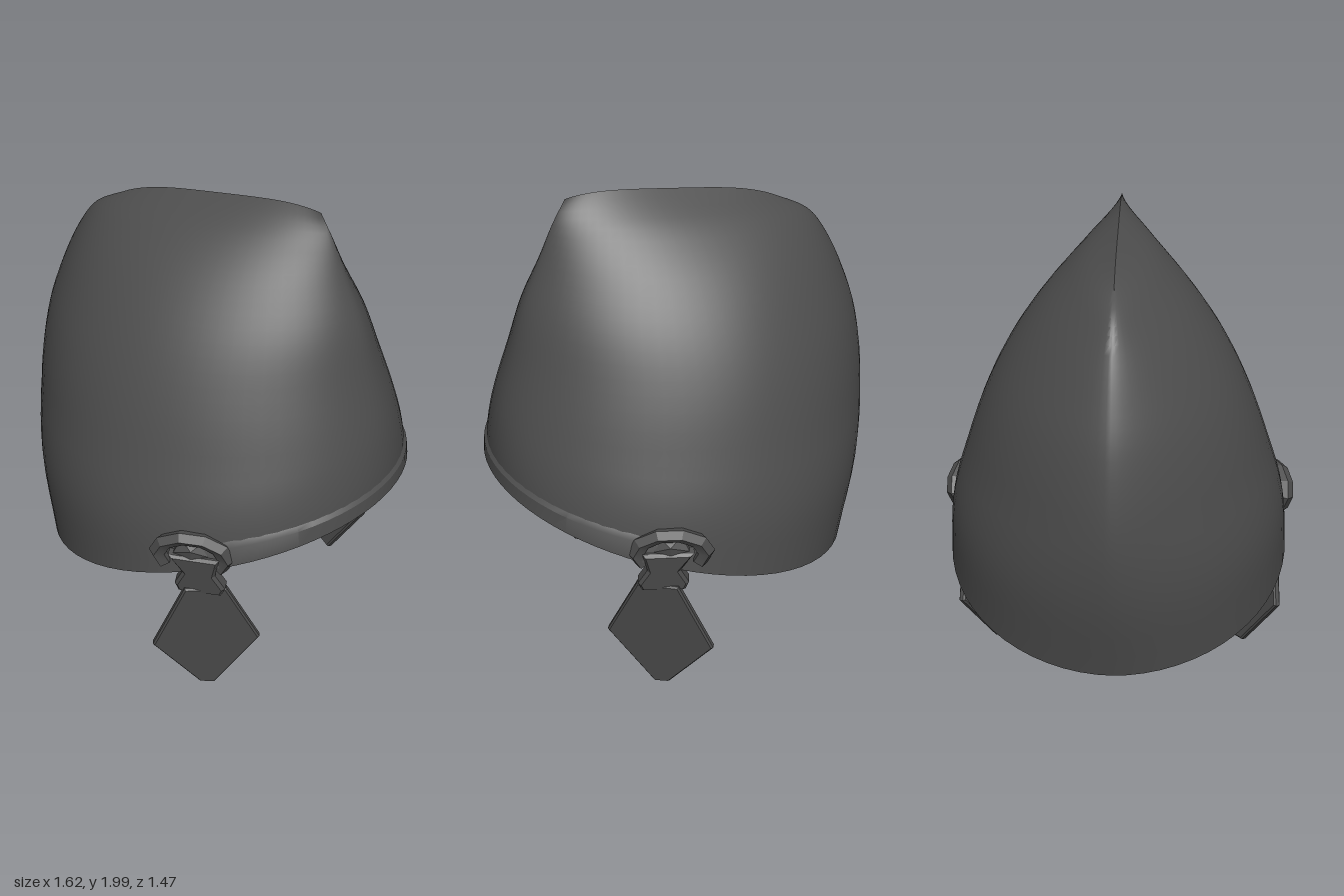
import * as THREE from 'three';
import { toCreasedNormals } from 'three/addons/utils/BufferGeometryUtils.js';

const V = (x, y, z = 0) => new THREE.Vector3(x, y, z);

// Rear profile (x, y, half width of the ring) and front profile (x, y), rim to ridge
const back = new THREE.CatmullRomCurve3([
  V(-0.695, 0.36, 0.7), V(-0.785, 0.72, 0.68), V(-0.81, 1.0, 0.62), V(-0.775, 1.3, 0.525),
  V(-0.71, 1.5, 0.42), V(-0.635, 1.66, 0.29), V(-0.55, 1.775, 0.148), V(-0.4, 1.86, 0),
]);
const front = new THREE.CatmullRomCurve3([
  V(0.8, 0.85), V(0.79, 0.98), V(0.765, 1.13), V(0.7, 1.36),
  V(0.645, 1.56), V(0.57, 1.74), V(0.51, 1.885), V(0.455, 1.985),
]);

// Point on the bowl at height t and angle a, moved inward by d
function bowlPoint(t, a, d) {
  const b = back.getPoint(t), f = front.getPoint(t);
  const u = Math.cos(a), s = Math.sin(a), k = (u + 1) / 2;
  // The rim is round; the rear narrows to a keel higher up
  const power = u < 0 ? 1.05 + 0.35 * Math.min(1, t * 3.5) : 1 + 0.6 * t * t;
  const width = t > 0.9999 ? 0 : Math.max(0, b.z - d);
  const bulge = 0.036 * (1 - u ** 4) * t ** 4;
  return V(
    THREE.MathUtils.lerp(b.x + d, f.x - d, k),
    THREE.MathUtils.lerp(b.y, f.y, k) + bulge - d * 1.2 * t,
    Math.sign(s) * width * Math.abs(s) ** power,
  );
}

// Skin a list of [t, d] rows over an arc of the bowl
function bowlSurface(rows, a0, a1, n, crease) {
  const pos = [], index = [];
  const closed = a1 - a0 > 6.28;
  const cols = closed ? n : n + 1;
  for (const [t, d] of rows) {
    for (let j = 0; j < cols; j++) pos.push(...bowlPoint(t, a0 + ((a1 - a0) * j) / n, d).toArray());
  }
  for (let i = 0; i < rows.length - 1; i++) {
    for (let j = 0; j < n; j++) {
      const p = i * cols + j, q = i * cols + ((j + 1) % cols);
      index.push(p, p + cols, q, q, p + cols, q + cols);
    }
  }
  const geo = new THREE.BufferGeometry();
  geo.setAttribute('position', new THREE.Float32BufferAttribute(pos, 3));
  geo.setIndex(index);
  return toCreasedNormals(geo, crease);
}

// Flat plate, centred on its thickness, with a small bevel
function plate(points, depth, bevel) {
  const shape = new THREE.Shape(points.map(([x, y]) => new THREE.Vector2(x, y)));
  const geo = new THREE.ExtrudeGeometry(shape, {
    depth, bevelEnabled: true, bevelThickness: bevel, bevelSize: bevel, bevelOffset: -bevel, bevelSegments: 1,
  });
  return geo.translate(0, 0, -depth / 2);
}

export function createModel() {
  const model = new THREE.Group();
  model.name = 'helmet';
  const iron = new THREE.MeshStandardMaterial({ color: 0x4e4e4e, side: THREE.DoubleSide });
  iron.name = 'dark iron';
  const add = (parent, name, geo) => {
    const mesh = new THREE.Mesh(geo, iron);
    mesh.name = name;
    parent.add(mesh);
    return mesh;
  };

  // Bowl: lining from ridge to rim, then the outside back up to the ridge
  const steps = 28, rows = [];
  for (let i = steps; i >= 0; i--) rows.push([i / steps, 0.04]);
  for (let i = 0; i <= steps; i++) rows.push([i / steps, 0]);
  add(model, 'bowl', bowlSurface(rows, 0, Math.PI * 2, 64, 0.6));

  // Raised brow band between the two hinges
  const brow = [[0, 0.01], [0, -0.01], [0.06, -0.01], [0.08, 0.002]];
  add(model, 'browBand', bowlSurface(brow, -1.2, 1.2, 28, 0.5));

  // Cheek guards with their hinges
  for (const side of [1, -1]) {
    const guard = new THREE.Group();
    guard.name = side > 0 ? 'leftCheekGuard' : 'rightCheekGuard';
    guard.position.set(0.318, 0.56, side * 0.622);
    guard.rotation.set(side * 0.18, side * 0.555, 0, 'YXZ');
    model.add(guard);

    add(guard, 'cheekPlate', plate([
      [-0.08, 0.03], [-0.21, -0.31], [-0.02, -0.555], [0.04, -0.56], [0.22, -0.27], [0.085, 0.03],
    ], 0.018, 0.007));

    // The hinge lies flatter against the bowl than the plate below it
    const hinge = new THREE.Group();
    hinge.name = 'hinge';
    hinge.position.set(-0.03, 0, side * -0.02);
    hinge.rotation.y = side * -0.2;
    guard.add(hinge);

    add(hinge, 'hingeNeck', plate([
      [-0.07, 0], [-0.085, 0.04], [-0.055, 0.11], [-0.11, 0.2], [0.09, 0.2], [0.075, 0.11], [0.115, 0.04], [0.1, 0],
    ], 0.04, 0.012));

    // Faceted horseshoe collar around a small stud
    const arc = 4.4;
    const horseshoe = new THREE.TorusGeometry(0.135, 0.036, 5, 7, arc).rotateZ((Math.PI - arc) / 2);
    const collar = add(hinge, 'hingeCollar', toCreasedNormals(horseshoe, 0.3));
    collar.position.set(-0.02, 0.19, side * -0.005);
    collar.scale.set(1, 0.68, 1);
    const stud = add(hinge, 'hingeStud', new THREE.IcosahedronGeometry(0.085, 0));
    stud.position.set(-0.02, 0.2, side * -0.02);
    stud.scale.set(1, 0.8, 0.65);
  }
  return model;
}
